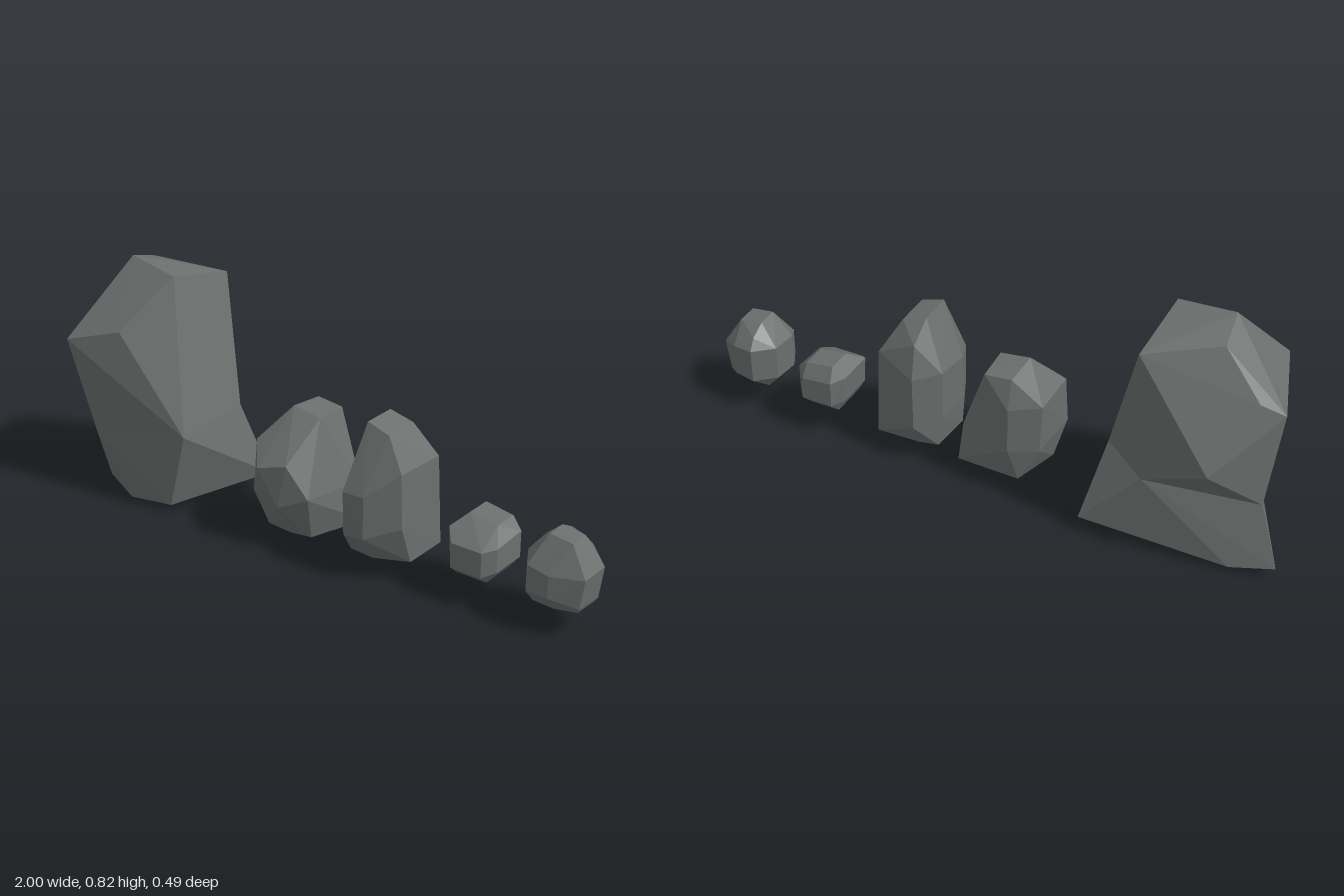
import * as THREE from 'three';
import { ConvexGeometry } from 'three/addons/geometries/ConvexGeometry.js';

const stone = new THREE.MeshStandardMaterial({ color: 0x6b6f6d, flatShading: true });

// A faceted rock made of one convex chunk per pair of neighbouring corner rings,
// so that the waist between two chunks may be pinched in.
function makeRock(name, chunks) {
  const rock = new THREE.Group();
  rock.name = name;
  chunks.forEach((corners, i) => {
    const geometry = new ConvexGeometry(corners.map((c) => new THREE.Vector3(...c)));
    const mesh = new THREE.Mesh(geometry, stone);
    mesh.name = `${name}Chunk${i + 1}`;
    rock.add(mesh);
  });
  return rock;
}

export function createModel() {
  const group = new THREE.Group();
  group.name = 'rocks';

  // Tall boulder: wide foot, pinched waist, slanted top
  const boulderFoot = [
    [-1, 0.04, -0.125], [-0.86, 0.01, 0.07], [-0.70, 0, 0.14],
    [-0.515, 0.03, 0.145], [-0.37, 0.06, -0.2], [-0.86, 0.02, -0.16],
  ];
  const boulderWaist = [
    [-0.93, 0.25, -0.10], [-0.79, 0.23, 0.195], [-0.60, 0.18, 0.16],
    [-0.43, 0.31, 0.165], [-0.43, 0.33, -0.12], [-0.57, 0.28, -0.19],
  ];
  const boulderTop = [
    [-0.80, 0.41, -0.245], [-0.97, 0.585, -0.08], [-0.90, 0.63, -0.12],
    [-0.86, 0.575, 0.245], [-0.67, 0.63, 0.195], [-0.76, 0.825, 0.02],
    [-0.565, 0.80, 0.04], [-0.55, 0.75, -0.205], [-0.775, 0.785, -0.10],
  ];
  group.add(makeRock('tallBoulder', [
    [...boulderFoot, ...boulderWaist],
    [...boulderWaist, ...boulderTop],
  ]));

  // Medium rock with a flared right foot
  const mediumFoot = [
    [-0.16, 0.045, 0.06], [-0.07, 0.04, 0.06], [0.015, 0.05, 0.06],
    [0.095, 0.065, -0.12], [-0.12, 0.06, -0.12],
  ];
  const mediumWaist = [
    [-0.19, 0.175, 0.10], [-0.055, 0.17, 0.145], [0.04, 0.21, 0.11],
    [0.08, 0.21, -0.11], [-0.10, 0.19, -0.155], [-0.19, 0.19, -0.11],
  ];
  const mediumTop = [
    [-0.20, 0.365, -0.11], [-0.19, 0.35, 0.08], [-0.125, 0.295, 0.16],
    [-0.02, 0.325, 0.145], [0, 0.445, -0.005], [-0.105, 0.46, -0.005],
    [-0.10, 0.45, -0.125], [-0.005, 0.44, -0.125], [-0.10, 0.35, -0.155],
  ];
  group.add(makeRock('mediumRock', [
    [...mediumFoot, ...mediumWaist],
    [...mediumWaist, ...mediumTop],
  ]));

  // Slender rock with a ridged top
  group.add(makeRock('slenderRock', [[
    [0.175, 0.065, 0.06], [0.26, 0.06, 0.06], [0.385, 0.075, 0.03],
    [0.39, 0.08, -0.125], [0.18, 0.075, -0.10], [0.24, 0.08, -0.12],
    [0.165, 0.18, 0.05], [0.205, 0.16, 0.14], [0.28, 0.165, 0.14], [0.385, 0.21, 0.08],
    [0.24, 0.16, -0.155], [0.165, 0.18, -0.09],
    [0.165, 0.34, 0.05], [0.205, 0.31, 0.145], [0.28, 0.31, 0.14], [0.38, 0.395, 0.08],
    [0.385, 0.39, -0.11], [0.24, 0.35, -0.155], [0.165, 0.36, -0.09],
    [0.24, 0.53, 0.065], [0.24, 0.53, -0.05], [0.32, 0.505, 0.065],
    [0.32, 0.505, -0.06], [0.245, 0.465, -0.125],
  ]]));

  // Smallest pebble: a chamfered block
  group.add(makeRock('smallPebble', [[
    [0.55, 0.095, 0.02], [0.66, 0.095, 0.02], [0.66, 0.095, -0.11], [0.55, 0.095, -0.11],
    [0.525, 0.14, 0.02], [0.55, 0.125, 0.055], [0.66, 0.125, 0.055], [0.695, 0.14, 0.02],
    [0.695, 0.14, -0.11], [0.66, 0.14, -0.155], [0.55, 0.14, -0.155], [0.525, 0.14, -0.11],
    [0.515, 0.24, 0.015], [0.55, 0.21, 0.055], [0.66, 0.21, 0.055], [0.695, 0.22, 0.02],
    [0.695, 0.23, -0.11], [0.655, 0.22, -0.155], [0.55, 0.23, -0.155], [0.515, 0.24, -0.115],
    [0.555, 0.28, -0.04], [0.655, 0.265, -0.04], [0.655, 0.265, -0.125], [0.555, 0.28, -0.125],
  ]]));

  // End pebble: rounder with a peaked top
  group.add(makeRock('endPebble', [[
    [0.825, 0.095, 0.02], [0.90, 0.092, 0.02], [0.975, 0.10, 0.01],
    [0.975, 0.095, -0.085], [0.83, 0.095, -0.10],
    [0.79, 0.13, 0], [0.82, 0.14, 0.055], [0.895, 0.14, 0.055], [0.985, 0.12, 0.02],
    [0.985, 0.11, -0.09], [0.93, 0.14, -0.14], [0.855, 0.14, -0.155], [0.79, 0.14, -0.10],
    [0.79, 0.25, 0], [0.82, 0.23, 0.055], [0.895, 0.215, 0.055], [1, 0.22, 0.02],
    [1, 0.22, -0.09], [0.93, 0.25, -0.14], [0.855, 0.26, -0.155], [0.79, 0.26, -0.10],
    [0.86, 0.325, 0], [0.94, 0.315, 0], [0.86, 0.325, -0.07],
    [0.94, 0.315, -0.07], [0.86, 0.295, -0.125],
  ]]));

  return group;
}
